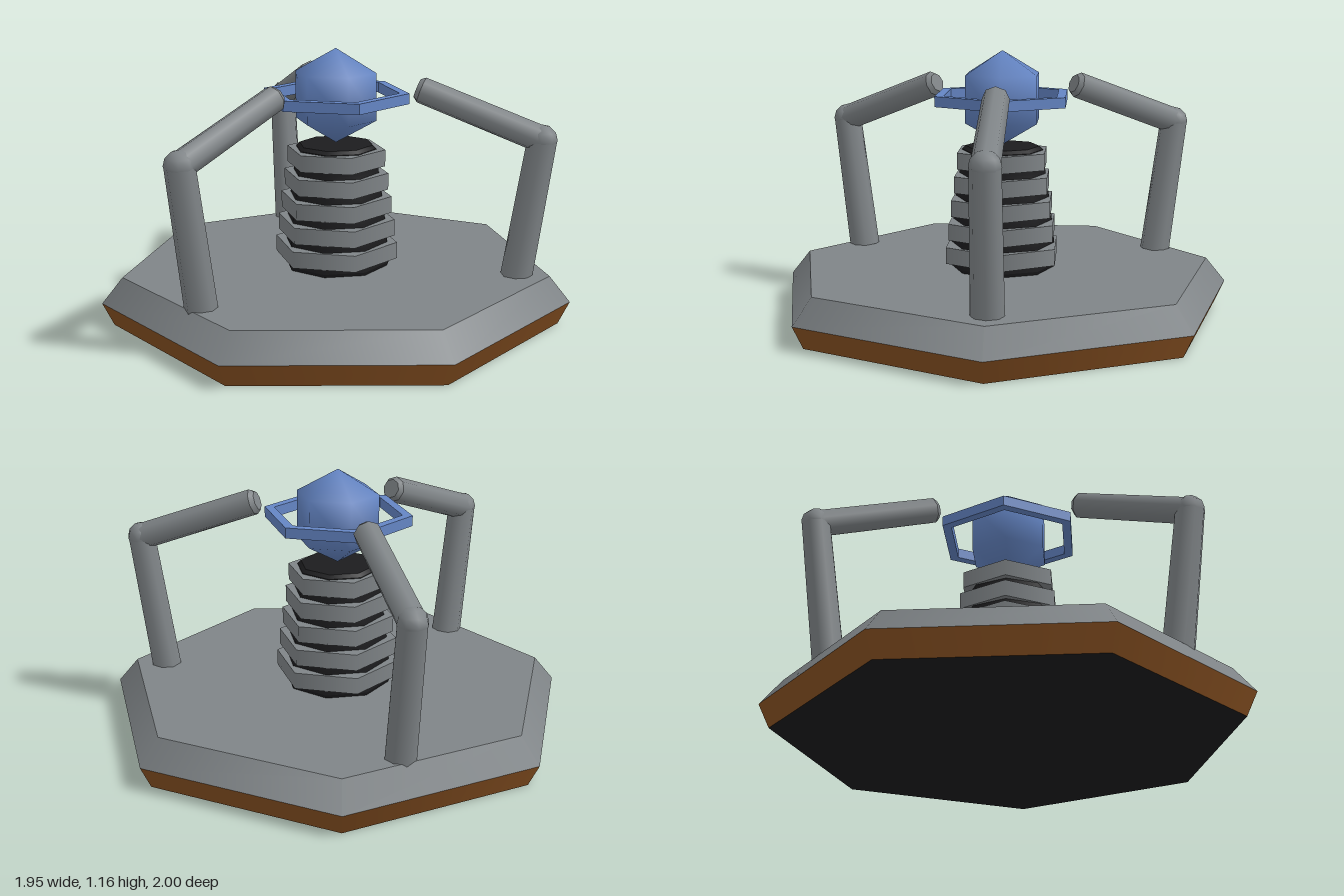
import * as THREE from 'three';

const mat = (name, color) => {
  const m = new THREE.MeshStandardMaterial({ color });
  m.name = name;
  return m;
};

export function createModel() {
  const grey = mat('steel grey', 0x7f8487);
  const brown = mat('rust brown', 0x8a5222);
  const black = mat('dark rubber', 0x1c1c1e);
  const blue = mat('energy blue', 0x6485c4);

  const model = new THREE.Group();
  model.name = 'reactorPedestal';
  const body = new THREE.Group();
  body.name = 'body';
  body.position.x = -0.05;
  model.add(body);

  const add = (parent, name, geometry, material, y = 0) => {
    const mesh = new THREE.Mesh(geometry, material);
    mesh.name = name;
    mesh.position.y = y;
    parent.add(mesh);
    return mesh;
  };
  // Upright prism whose first corner points along +x
  const prism = (top, bottom, h, sides) =>
    new THREE.CylinderGeometry(top, bottom, h, sides, 1, false, Math.PI / 2);

  // Seven-sided base
  add(body, 'baseSkirt', prism(1.025, 0.977, 0.1, 7), [brown, grey, black], 0.05);
  add(body, 'baseDeck', prism(0.935, 1.025, 0.11, 7), grey, 0.155);

  // Dark tapering core
  const core = [[0.225, 0.205], [0.234, 0.225], [0.227, 0.335], [0.216, 0.437],
    [0.203, 0.536], [0.1875, 0.64], [0.177, 0.732], [0.162, 0.747]];
  for (let i = 0; i < core.length - 1; i++) {
    const [r0, y0] = core[i], [r1, y1] = core[i + 1];
    add(body, 'columnCore', prism(r1, r0, y1 - y0, 8), black, (y0 + y1) / 2);
  }

  // Hexagonal rings around the core
  [0.272, 0.26, 0.246, 0.231, 0.217].forEach((r, i) =>
    add(body, 'columnRing', prism(r, r, 0.072, 6), grey, 0.282 + i * 0.1027));

  // Crystal and its hexagonal halo
  add(body, 'crystal', new THREE.SphereGeometry(0.205, 6, 3), blue, 0.957);
  const hexagon = (r) => Array.from({ length: 6 }, (_, i) =>
    new THREE.Vector2(r * Math.cos(i * Math.PI / 3), r * Math.sin(i * Math.PI / 3)));
  const haloShape = new THREE.Shape(hexagon(0.32));
  haloShape.holes.push(new THREE.Path(hexagon(0.277)));
  const halo = new THREE.ExtrudeGeometry(haloShape, { depth: 0.045, bevelEnabled: false });
  halo.rotateX(-Math.PI / 2);
  add(body, 'halo', halo, blue, 0.933);

  // Eight-sided limb between two points
  const limb = (parent, name, a, b, r0, r1) => {
    const dir = b.clone().sub(a);
    const mesh = add(parent, name, new THREE.CylinderGeometry(r1, r0, dir.length(), 8), grey);
    mesh.position.copy(a).add(b).multiplyScalar(0.5);
    mesh.quaternion.setFromUnitVectors(new THREE.Vector3(0, 1, 0), dir.normalize());
  };

  // Three jointed arms reaching towards the crystal
  const foot = new THREE.Vector3(0.793, 0.203, 0);
  const elbow = new THREE.Vector3(0.882, 0.805, 0);
  const tip = new THREE.Vector3(0.352, 1.002, 0);
  const wrist = tip.clone().lerp(elbow, 0.035);
  for (let i = 0; i < 3; i++) {
    const arm = new THREE.Group();
    arm.name = 'arm';
    arm.rotation.y = i * Math.PI * 2 / 3;
    body.add(arm);
    limb(arm, 'lowerArm', foot, elbow, 0.068, 0.062);
    limb(arm, 'upperArm', elbow, wrist, 0.059, 0.057);
    limb(arm, 'armTip', wrist, tip, 0.057, 0.042);
    add(arm, 'elbow', new THREE.SphereGeometry(0.064, 8, 6), grey).position.copy(elbow);
  }
  return model;
}
